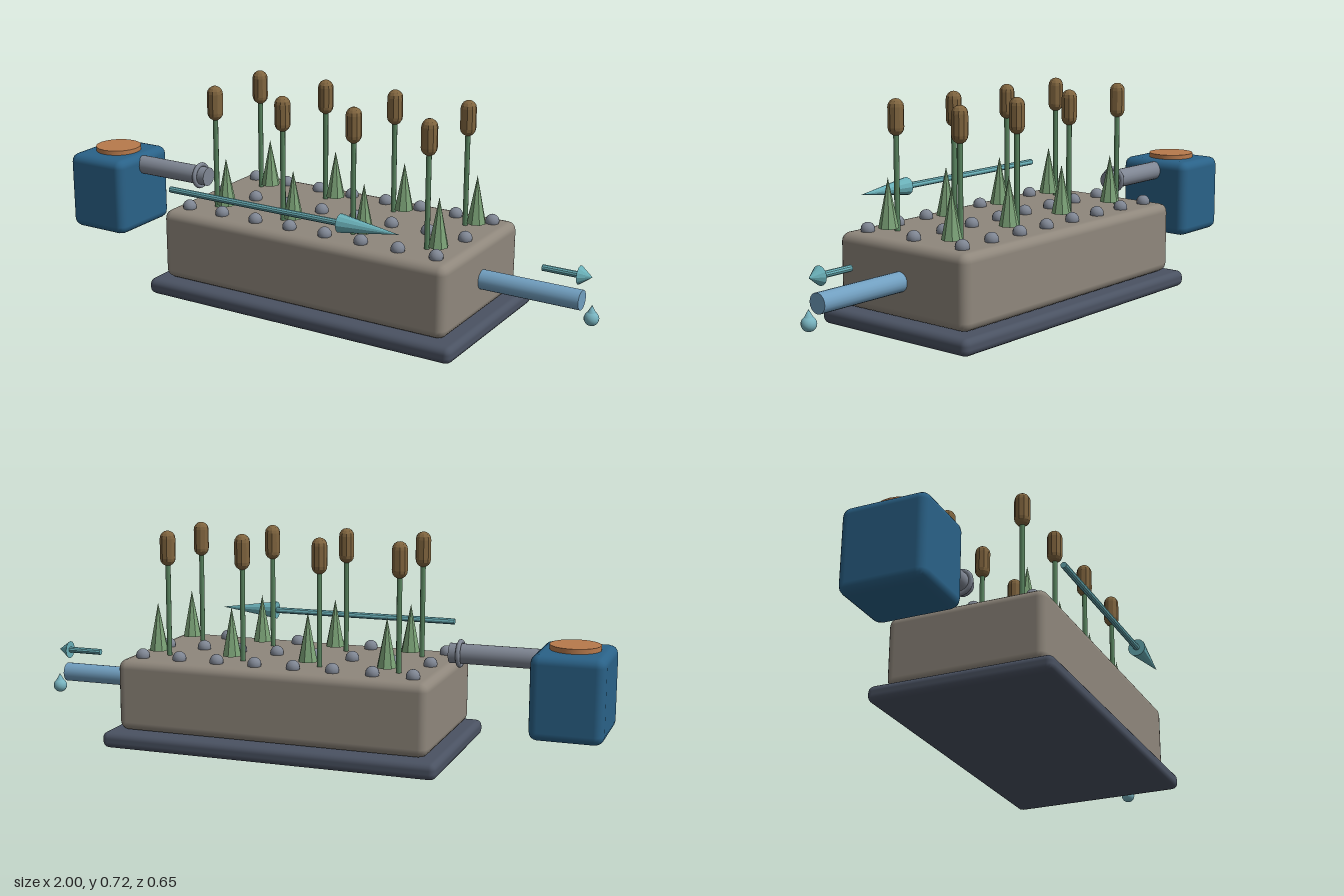
import * as THREE from 'three';
import { RoundedBoxGeometry } from 'three/addons/geometries/RoundedBoxGeometry.js';

const ZC = -0.0125; // centre line of the bed, tank and pipes

const mat = (color, flatShading = false) => new THREE.MeshStandardMaterial({ color, flatShading });
const mats = {
  base: mat(0x4a5262), gravel: mat(0x8f877c), tank: mat(0x2a6288), lid: mat(0xb87a4c),
  steel: mat(0x7f8693), water: mat(0x719fc0), arrow: mat(0x6ab0b8, true), drop: mat(0x78b4c0),
  stem: mat(0x5a8560), leaf: mat(0x7ba277, true), head: mat(0x80653f, true),
};

export function createModel() {
  const model = new THREE.Group();
  model.name = 'reedBedFilter';

  const add = (name, geometry, material, x, y, z, parent = model) => {
    const mesh = new THREE.Mesh(geometry, material);
    mesh.name = name;
    mesh.position.set(x, y, z);
    parent.add(mesh);
    return mesh;
  };
  const box = (name, material, w, h, d, r, x, y) =>
    add(name, new RoundedBoxGeometry(w, h, d, 2, r), material, x, y, ZC);

  // Cylinder lying along x between two positions
  const pipe = (name, material, r, x0, x1, y, z, parent) =>
    add(name, new THREE.CylinderGeometry(r, r, x1 - x0, 20).rotateZ(-Math.PI / 2), material, (x0 + x1) / 2, y, z, parent);

  // Flow arrow: shaft and cone pointing to +x
  const arrow = (name, x0, xHead, xTip, y, z) => {
    const group = new THREE.Group();
    group.name = name;
    model.add(group);
    add('arrowShaft', new THREE.CylinderGeometry(0.0105, 0.0105, xHead - x0, 10).rotateZ(-Math.PI / 2),
      mats.arrow, (x0 + xHead) / 2, y, z, group);
    add('arrowHead', new THREE.ConeGeometry(0.031, xTip - xHead, 12).rotateZ(-Math.PI / 2),
      mats.arrow, (xHead + xTip) / 2, y, z, group);
  };

  // Planted bed on its plinth
  box('basePlate', mats.base, 1.16, 0.055, 0.621, 0.022, 0.064, 0.0275);
  box('gravelBed', mats.gravel, 1.076, 0.242, 0.54, 0.03, 0.062, 0.177);

  // Settling tank with round lid
  box('settlingTank', mats.tank, 0.238, 0.277, 0.28, 0.03, -0.881, 0.2485);
  add('tankLid', new THREE.CylinderGeometry(0.0815, 0.0815, 0.03, 24), mats.lid, -0.882, 0.388, ZC);

  // Inlet pipe with collar, and outlet pipe
  pipe('inletPipe', mats.steel, 0.033, -0.8, -0.476, 0.347, ZC);
  add('inletCollar', new THREE.TorusGeometry(0.039, 0.008, 8, 24).rotateY(Math.PI / 2), mats.steel, -0.51, 0.347, ZC);
  pipe('outletPipe', mats.water, 0.0325, 0.56, 0.94, 0.177, ZC);

  // Flow arrows
  arrow('bedFlowArrow', -0.41, 0.25, 0.46, 0.393, 0.292);
  arrow('outletFlowArrow', 0.805, 0.928, 0.97, 0.258, ZC);

  // Water drop: round belly with a pointed top
  const drop = new THREE.Group();
  drop.name = 'waterDrop';
  model.add(drop);
  add('dropBelly', new THREE.SphereGeometry(0.024, 16, 12), mats.drop, 0.974, 0.124, ZC, drop);
  add('dropTip', new THREE.ConeGeometry(0.019, 0.034, 16), mats.drop, 0.974, 0.151, ZC, drop);

  // Reeds: stem, seed head and leaf cone in two rows of four
  const stemGeo = new THREE.CylinderGeometry(0.009, 0.009, 0.33, 8);
  const headGeo = new THREE.CapsuleGeometry(0.0265, 0.066, 4, 10);
  const leafGeo = new THREE.ConeGeometry(0.033, 0.162, 8);
  for (const z of [0.123, -0.147]) {
    for (let i = 0; i < 4; i++) {
      const reed = new THREE.Group();
      reed.name = 'reed';
      reed.position.set(-0.342 + i * 0.27, 0, z);
      model.add(reed);
      add('stem', stemGeo, mats.stem, 0, 0.455, 0, reed);
      add('seedHead', headGeo, mats.head, 0, 0.6625, 0, reed);
      add('leaf', leafGeo, mats.leaf, 0.04, 0.394, 0, reed);
    }
  }

  // Pebbles on the bed surface
  const pebbleGeo = new THREE.SphereGeometry(0.0235, 12, 8);
  for (const z of [-0.214, ZC, 0.189]) {
    for (let i = 0; i < 8; i++) add('pebble', pebbleGeo, mats.steel, -0.41 + i * 0.135, 0.305, z);
  }

  return model;
}
